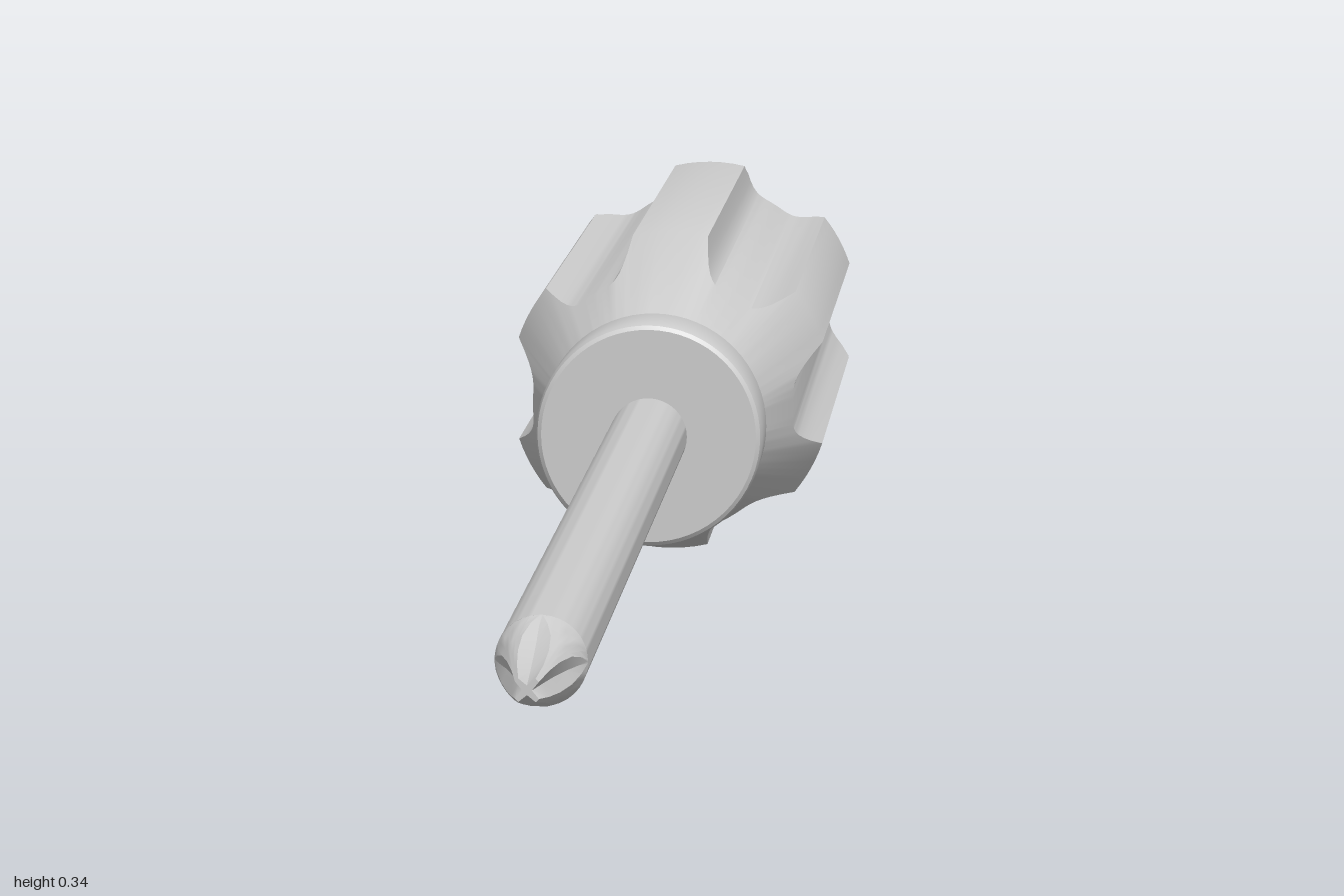
import * as THREE from 'three';
import { toCreasedNormals } from 'three/addons/utils/BufferGeometryUtils.js';

const DEG = Math.PI / 180;
const material = new THREE.MeshStandardMaterial({ color: 0xcccccc, side: THREE.DoubleSide });

function addMesh(group, name, geometry, crease = 0.5) {
  const mesh = new THREE.Mesh(toCreasedNormals(geometry, crease), material);
  mesh.name = name;
  group.add(mesh);
}

// Skin closed rings of {r, a, z} points, ordered from front (+z) to back
function loft(rings) {
  const n = rings[0].length;
  const pos = [], index = [];
  for (const ring of rings)
    for (const p of ring) pos.push(p.r * Math.cos(p.a), p.r * Math.sin(p.a), p.z);
  for (let i = 0; i < rings.length - 1; i++)
    for (let j = 0; j < n; j++) {
      const k = (j + 1) % n;
      const a = i * n + j, b = a + n, c = (i + 1) * n + k, d = i * n + k;
      index.push(a, b, d, b, c, d);
    }
  const g = new THREE.BufferGeometry();
  g.setAttribute('position', new THREE.Float32BufferAttribute(pos, 3));
  g.setIndex(index);
  return g;
}

// Revolve a profile of [radius, z] around the long axis
function revolve(profile) {
  return new THREE.LatheGeometry(profile.map(([r, z]) => new THREE.Vector2(r, z)), 64).rotateX(Math.PI / 2);
}

// Fluted grip: each column follows cone, straight part and rounded rear edge
function gripGeometry() {
  const R = 0.17, floor = 0.136, half = 18.7;
  const neckR = 0.1, neckZ = -0.215, coneZ = -0.41, capR = 0.134, filletZ = -0.955;
  const flutes = [0, 57.8, 122.2, 180, 237.8, 302.2];
  const columns = [];
  flutes.forEach((c, i) => {
    for (let s = -10; s < 10; s++)
      columns.push({ a: (c + half * s / 10) * DEG, r: floor + (R - floor) * (s / 10) ** 4 });
    const from = c + half, to = (flutes[i + 1] ?? 360) - half;
    for (let s = 0; s < 6; s++) columns.push({ a: (from + (to - from) * s / 6) * DEG, r: R });
  });
  const rings = [
    columns.map(({ a }) => ({ a, r: neckR, z: neckZ })),
    columns.map(({ a, r }) => ({ a, r, z: neckZ + (coneZ - neckZ) * (r - neckR) / (R - neckR) })),
  ];
  for (let k = 0; k <= 8; k++)
    rings.push(columns.map(({ a, r }) => {
      const t0 = Math.acos(Math.min(1, (r - capR) / (R - capR)));
      const t = t0 + (Math.PI / 2 - t0) * k / 8;
      return { a, r: capR + (R - capR) * Math.cos(t), z: filletZ - (1 + filletZ) * Math.sin(t) };
    }));
  rings.push(columns.map(({ a }) => ({ a, r: 0, z: -1 })));
  return loft(rings);
}

// Cross tip: tapered cone with four V notches on the axes
function tipGeometry() {
  const sections = [
    // z, ridge radius, notch floor radius, notch half-angle
    [1, 0.012, 0.004, 36], [0.975, 0.019, 0.010, 35], [0.95, 0.0255, 0.0165, 30],
    [0.925, 0.0315, 0.0245, 22], [0.905, 0.036, 0.033, 11], [0.89, 0.039, 0.039, 2],
  ];
  const ring = ([z, r, f, w]) => {
    const pts = [];
    for (let q = 0; q < 4; q++) {
      pts.push({ a: q * 90 * DEG, r: f, z });
      for (let s = 0; s <= 8; s++) pts.push({ a: (q * 90 + w + (90 - 2 * w) * s / 8) * DEG, r, z });
    }
    return pts;
  };
  const rings = sections.map(ring);
  rings.unshift(rings[0].map(p => ({ ...p, r: 0 })));
  return loft(rings);
}

export function createModel() {
  const group = new THREE.Group();
  group.name = 'screwdriver';
  const tool = new THREE.Group();
  tool.name = 'tool';
  tool.position.y = 0.17;
  group.add(tool);

  addMesh(tool, 'grip', gripGeometry());
  // Collar with softened rims
  addMesh(tool, 'collar', revolve([
    [0.098, -0.225], [0.106, -0.222], [0.112, -0.216], [0.115, -0.207],
    [0.115, -0.15], [0.113, -0.143], [0.109, -0.14], [0, -0.14],
  ]));
  addMesh(tool, 'shaft', revolve([[0.039, -0.15], [0.039, 0.89]]));
  addMesh(tool, 'crossTip', tipGeometry(), 0.35);
  return group;
}
